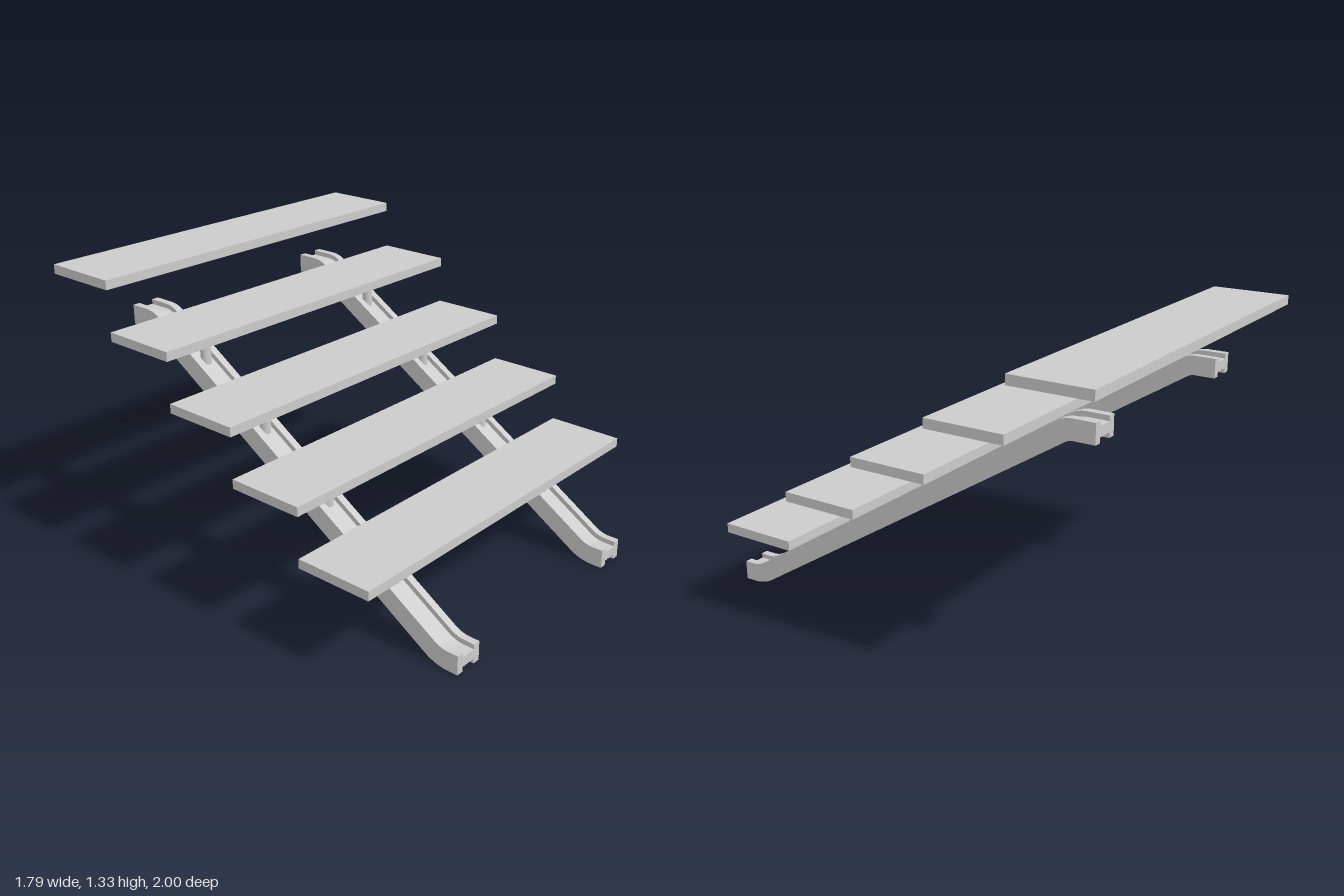
import * as THREE from 'three';
import { toCreasedNormals } from 'three/addons/utils/BufferGeometryUtils.js';

const RISE = 0.225, RUN = 0.358, STEPS = 5;
const SLOPE = Math.atan2(RISE, RUN);
const RAIL_X = 0.535;

// Centre line of a rail from its top end down to the floor: { z, y, a = tilt }
function railPath() {
  const pts = [{ z: -0.85, y: 1.067, a: 0 }];
  const segs = 8;
  const bend = (cornerZ, y, tangent, top) => {
    const r = tangent / Math.tan(SLOPE / 2);
    const s = top ? 1 : -1;
    for (let i = 0; i <= segs; i++) {
      const a = SLOPE * (top ? i : segs - i) / segs;
      pts.push({
        z: cornerZ - s * tangent + s * r * Math.sin(a),
        y: y - s * r + s * r * Math.cos(a),
        a,
      });
    }
  };
  bend(-0.725, 1.067, 0.03, true);
  bend(0.903, 0.045, 0.05, false);
  pts.push({ z: 1, y: 0.045, a: 0 });
  return pts;
}

// H-section beam, extruded in even steps and then bent along the path
function railGeometry() {
  const w = 0.07, h = 0.044, inner = 0.036, web = 0.022;
  const section = new THREE.Shape([
    [-w, -h], [-inner, -h], [-inner, -web], [inner, -web], [inner, -h], [w, -h],
    [w, h], [inner, h], [inner, web], [-inner, web], [-inner, h], [-w, h],
  ].map(([x, y]) => new THREE.Vector2(x, y)));
  const path = railPath();
  const n = path.length - 1;
  const geo = new THREE.ExtrudeGeometry(section, { depth: n, steps: n, bevelEnabled: false });
  const pos = geo.attributes.position;
  for (let i = 0; i < pos.count; i++) {
    const p = path[Math.round(pos.getZ(i))];
    const off = pos.getY(i);
    pos.setXYZ(i, pos.getX(i), p.y + off * Math.cos(p.a), p.z + off * Math.sin(p.a));
  }
  return toCreasedNormals(geo, 0.5);
}

export function createModel() {
  const group = new THREE.Group();
  const material = new THREE.MeshStandardMaterial({ color: 0xcccccc });
  const add = (name, geo, x, y, z) => {
    const mesh = new THREE.Mesh(geo, material);
    mesh.name = name;
    mesh.position.set(x, y, z);
    group.add(mesh);
  };

  // Two bent support rails
  const rail = railGeometry();
  add('leftRail', rail, RAIL_X, 0, 0);
  add('rightRail', rail, -RAIL_X, 0, 0);

  // Treads, each but the top one standing on a pair of posts
  const tread = new THREE.BoxGeometry(1.79, 0.042, RUN);
  const postHeight = 0.162;
  const post = new THREE.CylinderGeometry(0.024, 0.024, postHeight, 24);
  for (let i = 0; i < STEPS; i++) {
    const z = 0.615 - i * RUN;
    const y = 0.412 + i * RISE;
    add('tread', tread, 0, y, i === STEPS - 1 ? -1 + RUN / 2 : z);
    if (i === STEPS - 1) continue;
    for (const side of [1, -1]) {
      add(side > 0 ? 'leftPost' : 'rightPost', post, side * RAIL_X, y - 0.018 - postHeight / 2, z);
    }
  }
  return group;
}
